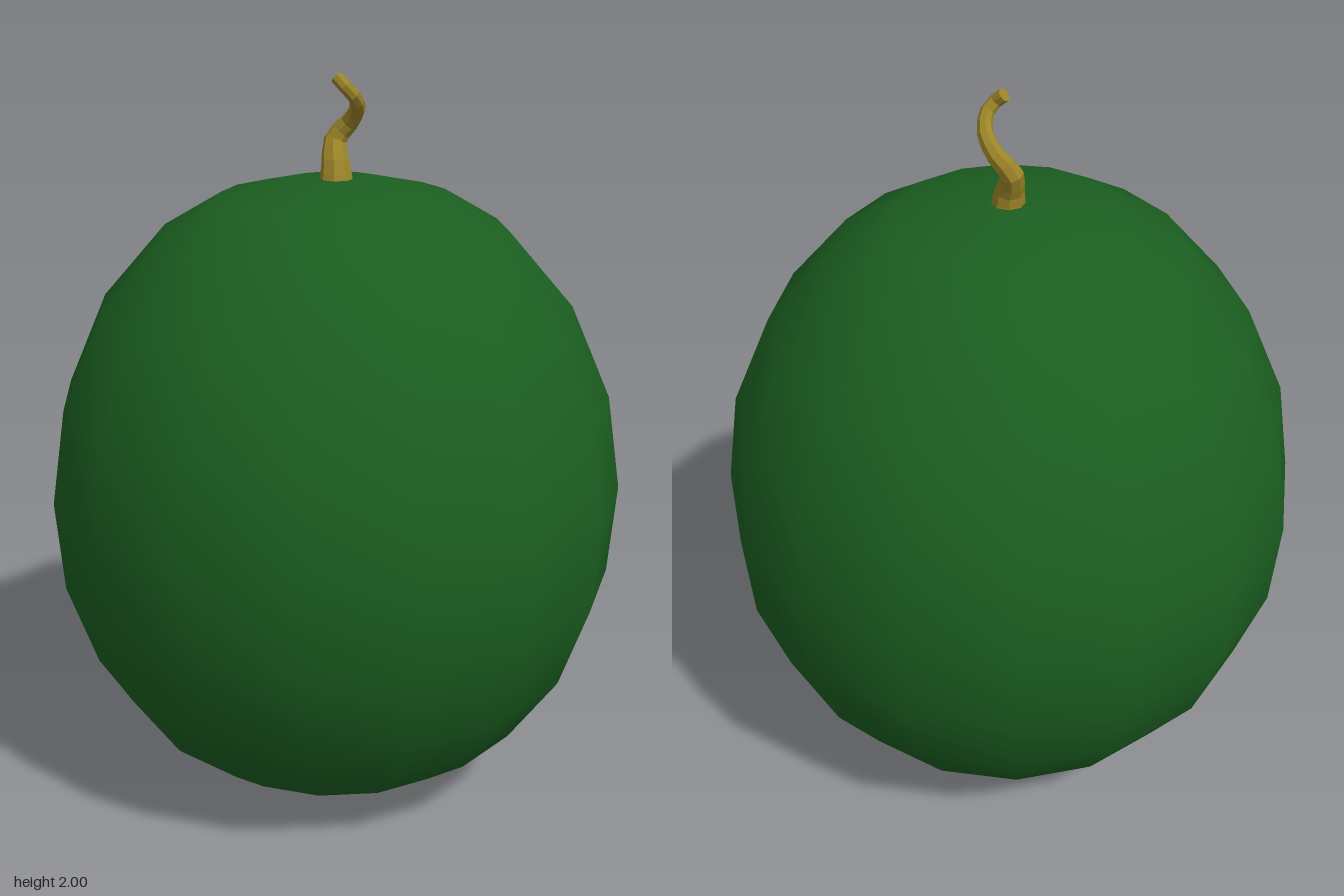
import * as THREE from 'three';

// Round fruit: smooth sixteen-sided lathe
function createBody() {
  const profile = [
    [0, 0], [0.11, 0.008], [0.26, 0.035], [0.415, 0.1], [0.55, 0.2], [0.69, 0.4], [0.77, 0.63],
    [0.79, 0.88], [0.75, 1.14], [0.64, 1.39], [0.465, 1.59], [0.31, 1.68], [0.13, 1.72], [0, 1.722],
  ].map(([r, y]) => new THREE.Vector2(r, y));
  const body = new THREE.Mesh(
    new THREE.LatheGeometry(profile, 16),
    new THREE.MeshStandardMaterial({ color: 0x1b5e20 })
  );
  body.name = 'fruitBody';
  return body;
}

// Curling stem: a faceted tube that tapers towards its tip
function createStem() {
  const rings = 12, sides = 8;
  const path = new THREE.CatmullRomCurve3([
    [0, 1.7, 0.005], [0.005, 1.76, -0.005], [0.025, 1.82, -0.03], [0.048, 1.87, 0.005],
    [0.035, 1.91, 0.05], [0, 1.945, 0.076], [-0.024, 1.97, 0.068], [-0.03, 1.99, 0.045],
  ].map((p) => new THREE.Vector3(...p)));
  const radiusAt = (t) => 0.018 + 0.029 * Math.pow(1 - t, 2);

  const tube = new THREE.TubeGeometry(path, rings, 1, sides, false);
  const pos = tube.attributes.position;
  const v = new THREE.Vector3();
  for (let i = 0; i < pos.count; i++) {
    const t = Math.floor(i / (sides + 1)) / rings;
    const centre = path.getPointAt(t);
    v.fromBufferAttribute(pos, i).sub(centre).multiplyScalar(radiusAt(t)).add(centre);
    pos.setXYZ(i, v.x, v.y, v.z);
  }
  const material = new THREE.MeshStandardMaterial({ color: 0x9a8428, flatShading: true });
  const stem = new THREE.Group();
  stem.name = 'stem';
  const stalk = new THREE.Mesh(tube, material);
  stalk.name = 'stemStalk';

  // Flat cut at the tip, facing along the end of the path
  const tip = new THREE.Mesh(new THREE.CircleGeometry(radiusAt(1), sides), material);
  tip.name = 'stemTip';
  tip.position.copy(path.getPointAt(1));
  tip.quaternion.setFromUnitVectors(new THREE.Vector3(0, 0, 1), path.getTangentAt(1));
  stem.add(stalk, tip);
  return stem;
}

export function createModel() {
  const model = new THREE.Group();
  model.name = 'fruit';
  model.add(createBody(), createStem());
  return model;
}
